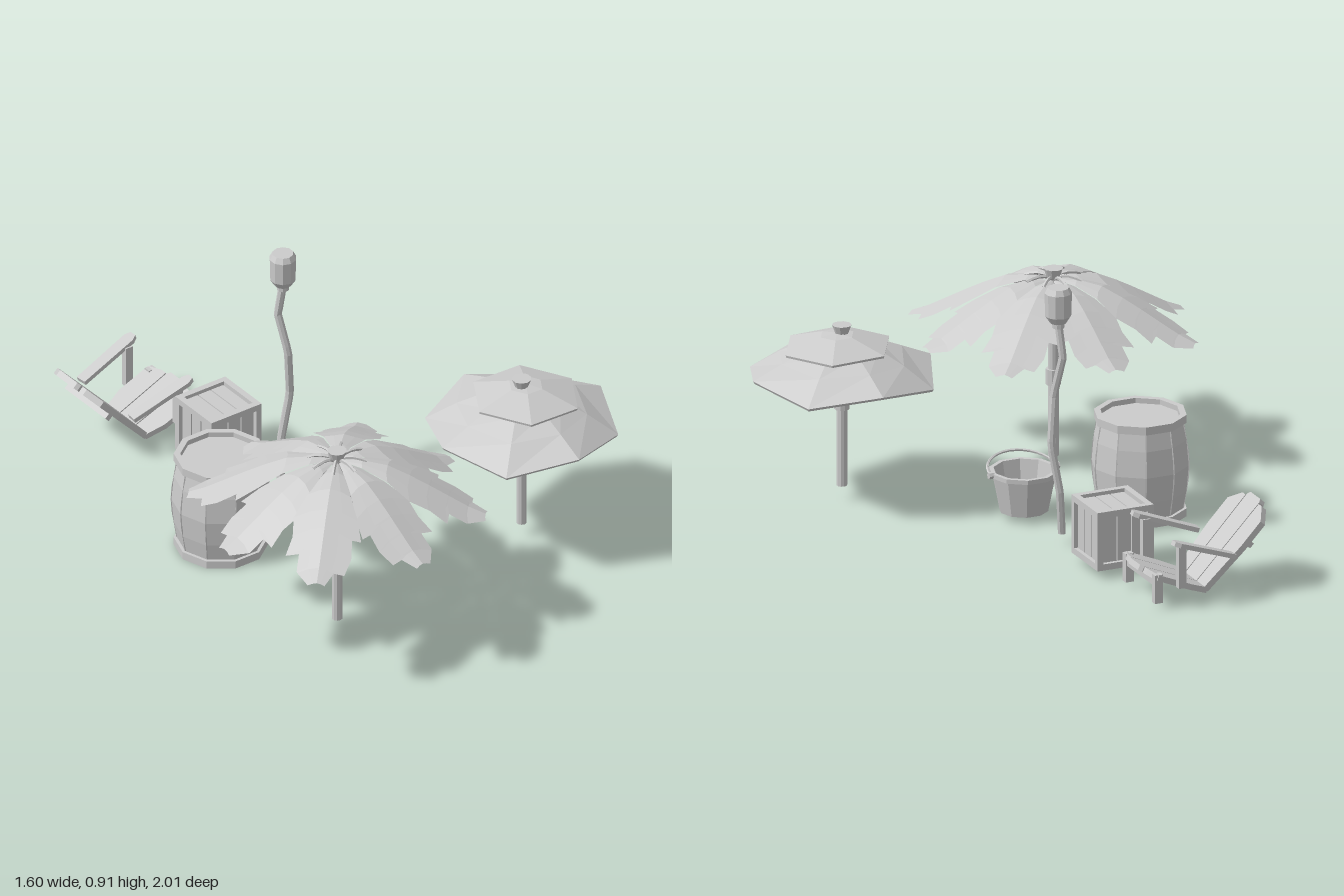
import * as THREE from 'three';

const mat = new THREE.MeshStandardMaterial({ color: 0xcccccc, flatShading: true, side: THREE.DoubleSide });

function add(parent, name, geo, x = 0, y = 0, z = 0) {
  const m = new THREE.Mesh(geo, mat);
  m.name = name;
  m.position.set(x, y, z);
  parent.add(m);
  return m;
}

function group(parent, name, x, z) {
  const g = new THREE.Group();
  g.name = name;
  g.position.set(x, 0, z);
  parent.add(g);
  return g;
}

const lathe = (pts, sides) => new THREE.LatheGeometry(pts.map(p => new THREE.Vector2(...p)), sides);
const cyl = (rt, rb, h, sides = 10) => new THREE.CylinderGeometry(rt, rb, h, sides);
const box = (w, h, d) => new THREE.BoxGeometry(w, h, d);

// Pole with a sleeve and a flared cap, shared by both parasols
function pole(g, bottom, top, sleeveY, capTop) {
  add(g, 'pole', cyl(0.018, 0.018, top - bottom), 0, (top + bottom) / 2);
  add(g, 'poleSleeve', cyl(0.026, 0.026, 0.055), 0, sleeveY);
  add(g, 'cap', cyl(0.033, 0.02, 0.035), 0, capTop - 0.0175);
}

// Surface through rows of points, each row having the same count
function loft(rows, closed) {
  const pos = [], idx = [], n = rows[0].length;
  rows.forEach(r => r.forEach(p => pos.push(...p)));
  for (let i = 0; i < rows.length - 1; i++) {
    for (let j = 0; j < (closed ? n : n - 1); j++) {
      const a = i * n + j, b = i * n + (j + 1) % n;
      idx.push(a, a + n, b, b, a + n, b + n);
    }
  }
  const geo = new THREE.BufferGeometry();
  geo.setAttribute('position', new THREE.Float32BufferAttribute(pos, 3));
  geo.setIndex(idx);
  geo.computeVertexNormals();
  return geo;
}

// Leaf of the thatched parasol: [distance, ridge height, left width, right width]
const LEAF = [
  [0.02, 0.635, 0.008, 0.008], [0.08, 0.641, 0.035, 0.035], [0.16, 0.628, 0.07, 0.072],
  [0.23, 0.595, 0.105, 0.11], [0.29, 0.562, 0.125, 0.105], [0.295, 0.559, 0.095, 0.105],
  [0.35, 0.527, 0.10, 0.12], [0.355, 0.524, 0.10, 0.075], [0.41, 0.492, 0.085, 0.075],
  [0.415, 0.489, 0.05, 0.072], [0.47, 0.465, 0.026, 0.03],
];

function leafParasol(root) {
  const g = group(root, 'leafParasol', -0.335, 0.525);
  pole(g, 0.01, 0.65, 0.29, 0.672);
  for (let i = 0; i < 8; i++) {
    const flip = i % 2, stretch = flip ? 1.06 : 1;
    const rows = LEAF.map(([r, y, l, rt]) => {
      const [a, b] = flip ? [rt, l] : [l, rt];
      // outer edges sweep a little past the ridge and droop below it
      return [[-a, y - a * 0.3, r + a * 0.12], [-a / 2, y - a * 0.12, r], [0, y, r],
        [b / 2, y - b * 0.12, r], [b, y - b * 0.3, r + b * 0.12]]
        .map(([px, py, pz]) => [px, py, pz * stretch]);
    });
    const leaf = add(g, 'leaf', loft(rows, false));
    leaf.rotation.y = i * Math.PI / 4 + 0.02;
    // Leaf stalk curling into the cap
    const stalk = new THREE.QuadraticBezierCurve3(new THREE.Vector3(0, 0.636, 0.01),
      new THREE.Vector3(0, 0.662, 0.04), new THREE.Vector3(0, 0.638, 0.10));
    add(g, 'leafStalk', new THREE.TubeGeometry(stalk, 4, 0.006, 5)).rotation.y = leaf.rotation.y;
  }
}

function canopyParasol(root) {
  const g = group(root, 'canopyParasol', 0.47, 0.46);
  pole(g, 0.05, 0.59, 0.348, 0.617);
  // Octagonal lower canopy whose diagonal corners hang lower
  const ring = (r, y, n, sag) => Array.from({ length: n }, (_, i) => {
    const a = i * 2 * Math.PI / n;
    return [r * Math.cos(a), y - (i % 2) * sag, -r * Math.sin(a)];
  });
  const outer = [[0.01, 0.57, 0], [0.13, 0.545, 0], [0.22, 0.51, 0.012], [0.325, 0.465, 0.037],
    [0.32, 0.456, 0.037], [0.2, 0.505, 0.01], [0.01, 0.56, 0]];
  add(g, 'lowerCanopy', loft(outer.map(([r, y, s]) => ring(r, y, 8, s)), true));
  // Hexagonal upper tier, slightly askew
  const tier = [[0.01, 0.59], [0.06, 0.585], [0.19, 0.545], [0.188, 0.537], [0.01, 0.575]];
  add(g, 'upperCanopy', loft(tier.map(([r, y]) => ring(r, y, 6, 0)), true)).rotation.z = -0.03;
}

function barrel(root) {
  const g = group(root, 'barrel', -0.372, -0.08);
  g.rotation.y = Math.PI / 10;
  add(g, 'staves', lathe([[0, 0.012], [0.143, 0.012], [0.157, 0.09], [0.165, 0.18],
    [0.157, 0.27], [0.143, 0.34], [0, 0.34]], 10));
  for (const y of [0, 0.33]) {
    add(g, 'rim', lathe([[0.135, 0], [0.157, 0], [0.157, 0.028], [0.135, 0.028], [0.135, 0]], 10), 0, y);
  }
  // Narrow raised seams along the staves
  for (let i = 0; i < 10; i++) {
    const a = i * Math.PI / 5;
    const seam = new THREE.CatmullRomCurve3([[0.146, 0.03], [0.165, 0.18], [0.146, 0.33]]
      .map(([r, y]) => new THREE.Vector3(r * Math.sin(a), y, r * Math.cos(a))));
    add(g, 'staveSeam', new THREE.TubeGeometry(seam, 6, 0.003, 4));
  }
}

function bucket(root) {
  const g = group(root, 'bucket', -0.01, 0.06);
  add(g, 'pail', lathe([[0, 0.022], [0.083, 0.022], [0.108, 0.15], [0.117, 0.15], [0.117, 0.165],
    [0.102, 0.165], [0.078, 0.035], [0, 0.035]], 10)).rotation.y = Math.PI / 10;
  // Handle resting over the front of the rim
  const pts = Array.from({ length: 9 }, (_, i) => {
    const a = i * Math.PI / 8;
    return new THREE.Vector3(0.122 * Math.cos(a), 0.16 + 0.033 * Math.sin(a), 0.115 * Math.sin(a));
  });
  add(g, 'handle', new THREE.TubeGeometry(new THREE.CatmullRomCurve3(pts), 16, 0.005, 5));
  for (const s of [-1, 1]) add(g, 'handleLug', cyl(0.012, 0.012, 0.018, 6), s * 0.12, 0.16).rotation.z = Math.PI / 2;
}

function torch(root) {
  const g = group(root, 'torch', 0, 0);
  const path = new THREE.CurvePath();
  const pts = [[-0.01, 0.04, -0.24], [0.005, 0.19, -0.257], [0.033, 0.36, -0.247],
    [0.018, 0.53, -0.237], [0, 0.67, -0.27], [0.01, 0.79, -0.255]].map(p => new THREE.Vector3(...p));
  for (let i = 1; i < pts.length; i++) path.add(new THREE.LineCurve3(pts[i - 1], pts[i]));
  add(g, 'torchPole', new THREE.TubeGeometry(path, 25, 0.014, 8));
  for (const p of [pts[0], pts[5]]) add(g, 'poleEnd', cyl(0.014, 0.014, 0.006, 8), p.x, p.y, p.z);
  add(g, 'collar', cyl(0.021, 0.021, 0.015), 0.01, 0.78, -0.255);
  add(g, 'torchHead', lathe([[0, 0.79], [0.028, 0.79], [0.044, 0.815], [0.046, 0.895],
    [0.036, 0.914], [0, 0.914]], 10), 0.01, 0, -0.255);
}

function crate(root) {
  const g = group(root, 'crate', -0.073, -0.505);
  const H = 0.103, t = 0.022, cy = 0.132, e = H - t / 2;
  add(g, 'crateCore', box(0.17, 0.17, 0.17), 0, cy);
  for (const a of [-1, 1]) {
    for (const b of [-1, 1]) {
      add(g, 'cornerPost', box(t, 2 * H - 2 * t, t), a * e, cy, b * e);
      add(g, 'sideRail', box(t, t, 2 * H - 2 * t), a * e, cy + b * e, 0);
      add(g, 'crossRail', box(2 * H, t, t), 0, cy + b * e, a * e);
    }
  }
  // Three slats on every face
  for (const s of [-1, 1]) {
    for (const k of [-1, 0, 1]) {
      const o = k * 0.053;
      add(g, 'lidSlat', box(0.049, 0.006, 0.16), o, cy + s * 0.088, 0);
      add(g, 'frontSlat', box(0.049, 0.16, 0.006), o, cy, s * 0.088);
      add(g, 'sideSlat', box(0.006, 0.16, 0.049), s * 0.088, cy, o);
    }
  }
}

// Plank laid from a to b in the x-y plane; outline is given as [along, across]
function plank(g, name, outline, a, angle, thick, z = 0) {
  const geo = new THREE.ExtrudeGeometry(new THREE.Shape(outline.map(p => new THREE.Vector2(...p))),
    { depth: thick, bevelEnabled: false });
  geo.translate(0, 0, -thick / 2).rotateX(-Math.PI / 2).rotateZ(angle);
  return add(g, name, geo, a[0], a[1], z);
}

function chair(root) {
  const g = group(root, 'loungeChair', 0, -0.825);
  const backAngle = Math.atan2(0.255, -0.24), seatAngle = Math.atan2(0.09, 0.215);
  // Back and seat, each of three planks with trimmed outer corners
  const mid = L => [[0, -0.043], [L - 0.012, -0.048], [L, -0.038], [L, 0.038], [L - 0.012, 0.048], [0, 0.043]];
  const side = (L, cut, s) => [[0, 0.047 * s], [L - 0.012, 0.052 * s], [L - 0.012, 0.075 * s],
    [L - cut, 0.13 * s], [L - 0.16, 0.13 * s], [0, 0.108 * s]];
  plank(g, 'backSlat', mid(0.35), [-0.215, 0.035], backAngle, 0.022);
  plank(g, 'seatSlat', mid(0.235), [-0.22, 0.032], seatAngle, 0.02);
  for (const s of [-1, 1]) {
    plank(g, 'backSlat', side(0.345, 0.055, s), [-0.215, 0.035], backAngle, 0.022);
    plank(g, 'seatSlat', side(0.235, 0.03, s), [-0.22, 0.032], seatAngle, 0.02);
    // Legs, arm posts and outward-splayed arms
    add(g, 'frontLeg', box(0.03, 0.1, 0.025), -0.035, 0.07, s * 0.115);
    add(g, 'armPost', box(0.028, 0.15, 0.022), -0.11, 0.145, s * 0.142);
    const arm = plank(g, 'arm', [[0, -0.02], [0.225, -0.022], [0.245, -0.012], [0.245, 0.012],
      [0.225, 0.022], [0, 0.02]], [-0.3, 0.155], 0.35, 0.016, s * 0.142);
    arm.rotation.y = -s * 0.09;
  }
  add(g, 'seatBrace', box(0.022, 0.022, 0.21), -0.035, 0.09);
  plank(g, 'backBrace', [[0.2, -0.115], [0.22, -0.115], [0.22, 0.115], [0.2, 0.115]],
    [-0.23, 0.02], backAngle, 0.02);
}

export function createModel() {
  const root = new THREE.Group();
  root.name = 'beachSet';
  [leafParasol, canopyParasol, barrel, bucket, torch, crate, chair].forEach(build => build(root));
  return root;
}
